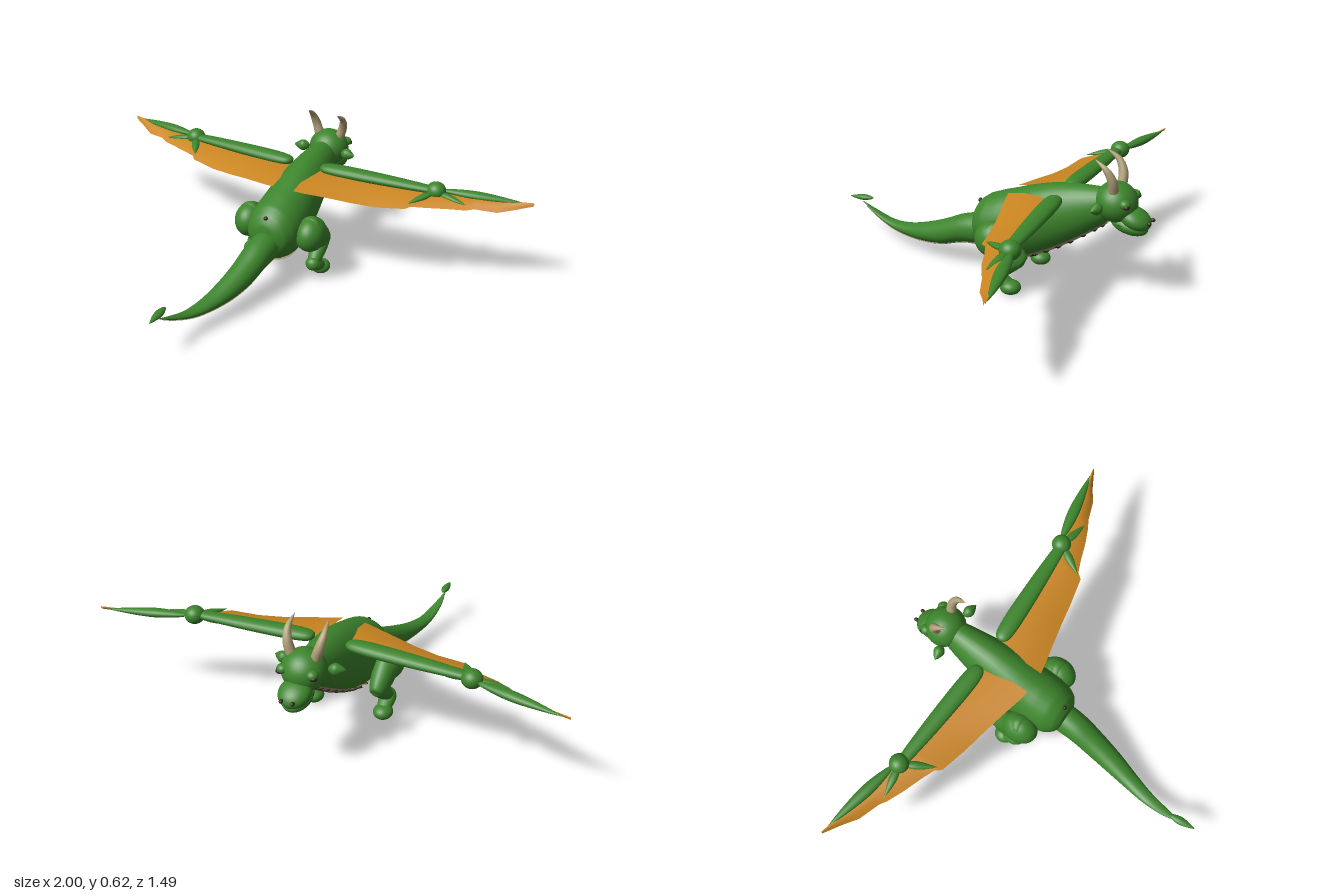
import * as THREE from 'three';

const mat = (name, color, side = THREE.FrontSide) => {
  const m = new THREE.MeshStandardMaterial({ color, side });
  m.name = name;
  return m;
};
const V = (x, y, z) => new THREE.Vector3(x, y, z);

// Grid of points (rows of equal length) to a smooth surface
function gridGeometry(rows, wrap) {
  const n = rows[0].length, pos = rows.flat().flatMap(p => [p.x, p.y, p.z]), idx = [];
  for (let i = 0; i < rows.length - 1; i++) {
    for (let j = 0; j < (wrap ? n : n - 1); j++) {
      const k = (j + 1) % n, a = i * n + j, b = i * n + k, c = a + n, d = b + n;
      idx.push(a, b, c, b, d, c);
    }
  }
  const g = new THREE.BufferGeometry();
  g.setAttribute('position', new THREE.Float32BufferAttribute(pos, 3));
  g.setIndex(idx);
  g.computeVertexNormals();
  return g;
}

// Smooth elliptical hull through sections [z, x, y, rx, ry]; angle 0 is the underside
function hull(sections) {
  const centre = new THREE.CatmullRomCurve3(sections.map(s => V(s[1], s[2], s[0])));
  const radius = new THREE.CatmullRomCurve3(sections.map(s => V(s[3], s[4], 0)));
  const point = (t, a, grow = 0) => {
    const c = centre.getPoint(t), r = radius.getPoint(t);
    return V(c.x + (Math.max(r.x, 0.001) + grow) * Math.sin(a), c.y - (Math.max(r.y, 0.001) + grow) * Math.cos(a), c.z);
  };
  const surface = (t0, t1, half, grow, steps = 48, around = 32) => {
    const full = half >= Math.PI, rows = [];
    for (let i = 0; i <= steps; i++) {
      const t = t0 + (t1 - t0) * i / steps, row = [];
      for (let j = 0; j < around + (full ? 0 : 1); j++) row.push(point(t, -half + 2 * half * j / around, grow));
      rows.push(row);
    }
    return gridGeometry(rows, full);
  };
  return { point, surface };
}

// Blunt or pointed limb running from a to b, with half width w and half height h
const BLUNT = [[0, 0], [0.55, 0.015], [0.9, 0.08], [1, 0.25], [0.88, 0.6], [0.62, 0.93], [0.35, 0.985], [0, 1]];
const LEAF = [[0, 0], [0.55, 0.12], [0.95, 0.35], [0.9, 0.55], [0.45, 0.82], [0, 1]];
function limbGeometry(profile) {
  const curve = new THREE.SplineCurve(profile.map(p => new THREE.Vector2(...p)));
  const pts = curve.getPoints(24).map(p => new THREE.Vector2(Math.max(p.x, 0), p.y));
  return new THREE.LatheGeometry(pts, 20).rotateX(Math.PI / 2);
}

export function createModel() {
  const green = mat('greenSkin', 0x3d852c);
  const tan = mat('tanBelly', 0xa8987c, THREE.DoubleSide);
  const orange = mat('orangeMembrane', 0xcb8622, THREE.DoubleSide);
  const horn = mat('hornBone', 0xb0a078);
  const dark = mat('darkBrown', 0x33271a);
  const root = new THREE.Group();
  root.name = 'dragon';

  const add = (name, geo, m) => {
    const mesh = new THREE.Mesh(geo, m);
    mesh.name = name;
    root.add(mesh);
    return mesh;
  };
  const ball = new THREE.SphereGeometry(1, 28, 20);
  const ellipsoid = (name, m, p, r, tilt = 0) => {
    const e = add(name, ball, m);
    e.position.set(...p);
    e.scale.set(...r);
    e.rotation.x = tilt;
  };
  const blunt = limbGeometry(BLUNT), leaf = limbGeometry(LEAF);
  const limb = (name, geo, m, a, b, w, h) => {
    const l = add(name, geo, m), from = V(...a), to = V(...b);
    l.position.copy(from);
    l.lookAt(to);
    l.scale.set(w, h, from.distanceTo(to));
  };

  // Body and belly plate
  const body = hull([
    [-0.6, 0, 0.42, 0.03, 0.03], [-0.56, 0, 0.41, 0.055, 0.068], [-0.5, 0, 0.388, 0.07, 0.092],
    [-0.4, 0, 0.35, 0.09, 0.125], [-0.3, 0, 0.312, 0.105, 0.147], [-0.2, 0, 0.275, 0.118, 0.155],
    [-0.1, 0, 0.248, 0.122, 0.147], [-0.03, 0, 0.242, 0.113, 0.125], [0.01, 0, 0.243, 0.09, 0.092],
    [0.03, 0, 0.243, 0.055, 0.055], [0.037, 0, 0.243, 0.002, 0.002]]);
  add('body', body.surface(0, 1, Math.PI, 0, 60), green);
  add('belly', body.surface(0.1, 0.7, 0.6, 0.007), tan);
  for (let i = 0; i < 9; i++) {
    const t = 0.14 + i * 0.052, arc = [];
    for (let j = 0; j <= 10; j++) arc.push(body.point(t, -0.55 + 0.11 * j, 0.008));
    add('bellyRidge', new THREE.TubeGeometry(new THREE.CatmullRomCurve3(arc), 16, 0.0045, 6), dark);
  }

  // Tail with pale underside and leaf-shaped tip
  const tail = hull([
    [-0.05, 0, 0.21, 0.055, 0.06], [0.02, 0, 0.2, 0.063, 0.068], [0.1, -0.004, 0.185, 0.061, 0.063],
    [0.2, -0.015, 0.145, 0.056, 0.056], [0.3, -0.032, 0.117, 0.049, 0.043], [0.4, -0.055, 0.1, 0.039, 0.028],
    [0.5, -0.08, 0.1, 0.029, 0.016], [0.6, -0.1, 0.13, 0.018, 0.008], [0.675, -0.11, 0.165, 0.002, 0.002]]);
  add('tail', tail.surface(0, 1, Math.PI, 0), green);
  add('tailUnderside', tail.surface(0.12, 0.96, 0.65, 0.004), tan);
  limb('tailTip', leaf, green, [-0.115, 0.188, 0.62], [-0.108, 0.182, 0.745], 0.018, 0.013);
  ellipsoid('rumpBump', dark, [0, 0.33, 0.018], [0.009, 0.009, 0.009]);

  // Head, snout and jaw
  ellipsoid('head', green, [0, 0.43, -0.587], [0.09, 0.083, 0.088], -0.3);
  ellipsoid('snout', green, [0, 0.372, -0.668], [0.065, 0.042, 0.07], -0.4);
  ellipsoid('jaw', green, [0, 0.342, -0.645], [0.058, 0.036, 0.08], -0.25);
  limb('mouthLine', blunt, dark, [0, 0.352, -0.6], [0, 0.345, -0.722], 0.057, 0.006);

  for (const s of [1, -1]) {
    // Face details
    ellipsoid('brow', green, [s * 0.062, 0.448, -0.642], [0.024, 0.02, 0.024]);
    ellipsoid('eye', dark, [s * 0.07, 0.441, -0.652], [0.016, 0.011, 0.014]);
    ellipsoid('nostril', dark, [s * 0.024, 0.367, -0.734], [0.008, 0.008, 0.01]);
    limb('ear', leaf, green, [s * 0.08, 0.43, -0.55], [s * 0.152, 0.432, -0.535], 0.024, 0.026);

    // Curved tapering horn
    const path = new THREE.CatmullRomCurve3([V(s * 0.052, 0.49, -0.59), V(s * 0.066, 0.535, -0.588),
      V(s * 0.075, 0.582, -0.565), V(s * 0.07, 0.62, -0.515)]);
    const hornGeo = new THREE.TubeGeometry(path, 20, 0.021, 14), p = hornGeo.attributes.position;
    for (let i = 0; i < p.count; i++) {
      const t = Math.floor(i / 15) / 20, c = path.getPointAt(t);
      const v = V(0, 0, 0).fromBufferAttribute(p, i).sub(c).multiplyScalar(1 - 0.95 * t * t).add(c);
      p.setXYZ(i, v.x, v.y, v.z);
    }
    hornGeo.computeVertexNormals();
    add('horn', hornGeo, horn);

    // Leg
    ellipsoid('thigh', green, [s * 0.15, 0.232, -0.115], [0.065, 0.077, 0.083]);
    limb('thighFront', blunt, green, [s * 0.15, 0.275, -0.07], [s * 0.15, 0.145, -0.25], 0.055, 0.068);
    ellipsoid('knee', green, [s * 0.15, 0.16, -0.222], [0.037, 0.036, 0.034]);
    limb('shin', blunt, green, [s * 0.15, 0.175, -0.235], [s * 0.155, 0.065, -0.115], 0.038, 0.036);
    ellipsoid('ankle', green, [s * 0.155, 0.08, -0.128], [0.033, 0.031, 0.03]);
    limb('foot', blunt, green, [s * 0.155, 0.085, -0.115], [s * 0.16, 0.03, -0.22], 0.036, 0.029);
    ellipsoid('toe', green, [s * 0.16, 0.036, -0.198], [0.042, 0.031, 0.045]);

    // Wing arm, elbow, forearm and fingers
    limb('upperArm', blunt, green, [s * 0.07, 0.432, -0.358], [s * 0.61, 0.43, -0.388], 0.04, 0.025);
    ellipsoid('elbow', green, [s * 0.6, 0.428, -0.393], [0.042, 0.038, 0.042]);
    limb('forearm', leaf, green, [s * 0.61, 0.428, -0.405], [s * 0.975, 0.415, -0.48], 0.026, 0.018);
    for (const [x, z] of [[0.525, -0.26], [0.44, -0.37], [0.745, -0.365]]) {
      limb('finger', leaf, green, [s * 0.6, 0.425, -0.39], [s * x, 0.405, z], 0.018, 0.012);
    }

    // Wing membrane: stations of x, leading z, trailing z, trailing y
    const stations = [[0.05, -0.345, -0.135, 0.405], [0.1, -0.355, -0.145, 0.4], [0.2, -0.365, -0.17, 0.392],
      [0.3, -0.375, -0.193, 0.382], [0.4, -0.38, -0.213, 0.378], [0.52, -0.385, -0.24, 0.388], [0.54, -0.39, -0.265, 0.392],
      [0.6, -0.395, -0.29, 0.39], [0.68, -0.415, -0.318, 0.392], [0.75, -0.43, -0.35, 0.388], [0.78, -0.435, -0.368, 0.393],
      [0.87, -0.455, -0.402, 0.383], [0.93, -0.47, -0.442, 0.393], [1, -0.486, -0.48, 0.41]];
    const rows = stations.map(([x, z0, z1, y1]) => {
      const row = [];
      for (let j = 0; j <= 6; j++) {
        const t = j / 6;
        row.push(V(s * x, 0.42 + (y1 - 0.42) * t + 0.008 * Math.sin(t * Math.PI), z0 + (z1 - z0) * t));
      }
      return s > 0 ? row : row.reverse();
    });
    // Rows wind so that the upper side is the front
    add('wingMembrane', gridGeometry(rows.map(r => r.reverse()), false), orange);
  }
  return root;
}
